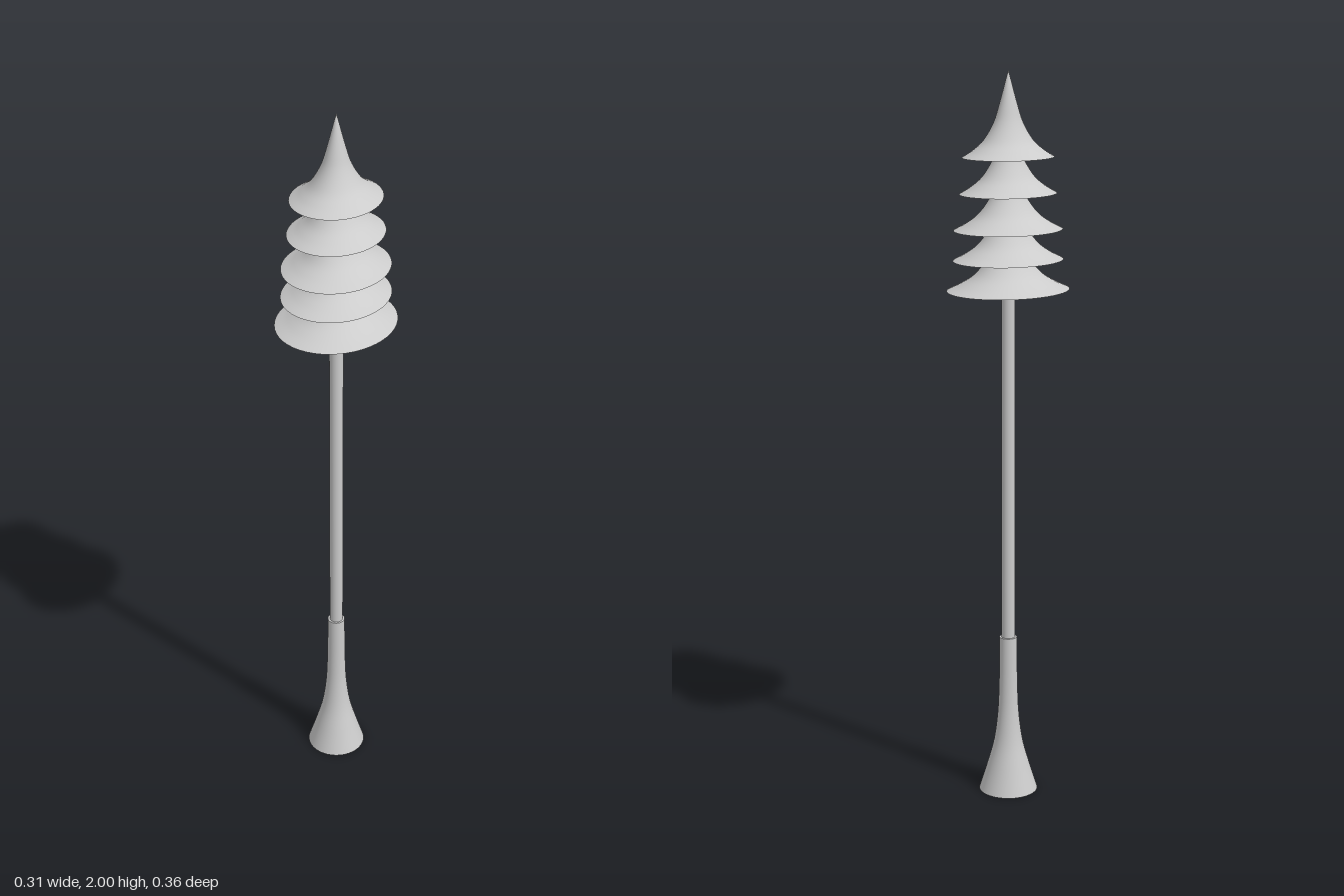
import * as THREE from 'three';

const SEGMENTS = 48;
const DEPTH_RATIO = 1.16; // the canopy is wider in z than in x

const material = new THREE.MeshStandardMaterial({ color: 0xcccccc });
const shellMaterial = new THREE.MeshStandardMaterial({ color: 0xcccccc, side: THREE.DoubleSide });

// Smooth curve through [radius, height] pairs, as a lathe profile
function profile(points, divisions) {
  const curve = new THREE.CatmullRomCurve3(points.map(([r, y]) => new THREE.Vector3(r, y, 0)), false, 'centripetal');
  return curve.getPoints(divisions).map((p) => new THREE.Vector2(Math.max(p.x, 0), p.y));
}

function addMesh(group, name, geometry, mat = material) {
  const mesh = new THREE.Mesh(geometry, mat);
  mesh.name = name;
  group.add(mesh);
  return mesh;
}

export function createModel() {
  const model = new THREE.Group();
  model.name = 'tieredPost';

  // Flared foot, closed underneath
  const foot = profile([[0.082, 0], [0.06, 0.07], [0.041, 0.14], [0.03, 0.22], [0.026, 0.3], [0.024, 0.45]], 24);
  addMesh(model, 'foot', new THREE.LatheGeometry(foot, SEGMENTS));
  const underside = addMesh(model, 'footUnderside', new THREE.CircleGeometry(0.082, SEGMENTS));
  underside.rotation.x = Math.PI / 2;
  const collar = addMesh(model, 'footCollar', new THREE.RingGeometry(0.0185, 0.024, SEGMENTS));
  collar.rotation.x = -Math.PI / 2;
  collar.position.y = 0.45;

  // Slender pole, running up inside the canopy
  const pole = addMesh(model, 'pole', new THREE.CylinderGeometry(0.0185, 0.0185, 1.4, SEGMENTS));
  pole.position.y = 1.1;

  // Hollow flared tiers, each one pointed like the top spire
  const tierShape = profile([[1, 0], [0.77, 0.018], [0.53, 0.045], [0.31, 0.092], [0.21, 0.13], [0, 0.225]], 28);
  const tiers = [[1.425, 0.156], [1.505, 0.14], [1.585, 0.138], [1.68, 0.123], [1.775, 0.116]];
  tiers.forEach(([y, radius], i) => {
    const points = tierShape.map((p) => new THREE.Vector2(p.x * radius, p.y));
    const tier = addMesh(model, `canopyTier${i + 1}`, new THREE.LatheGeometry(points, SEGMENTS), shellMaterial);
    tier.scale.z = DEPTH_RATIO;
    tier.position.y = y;
  });

  return model;
}
